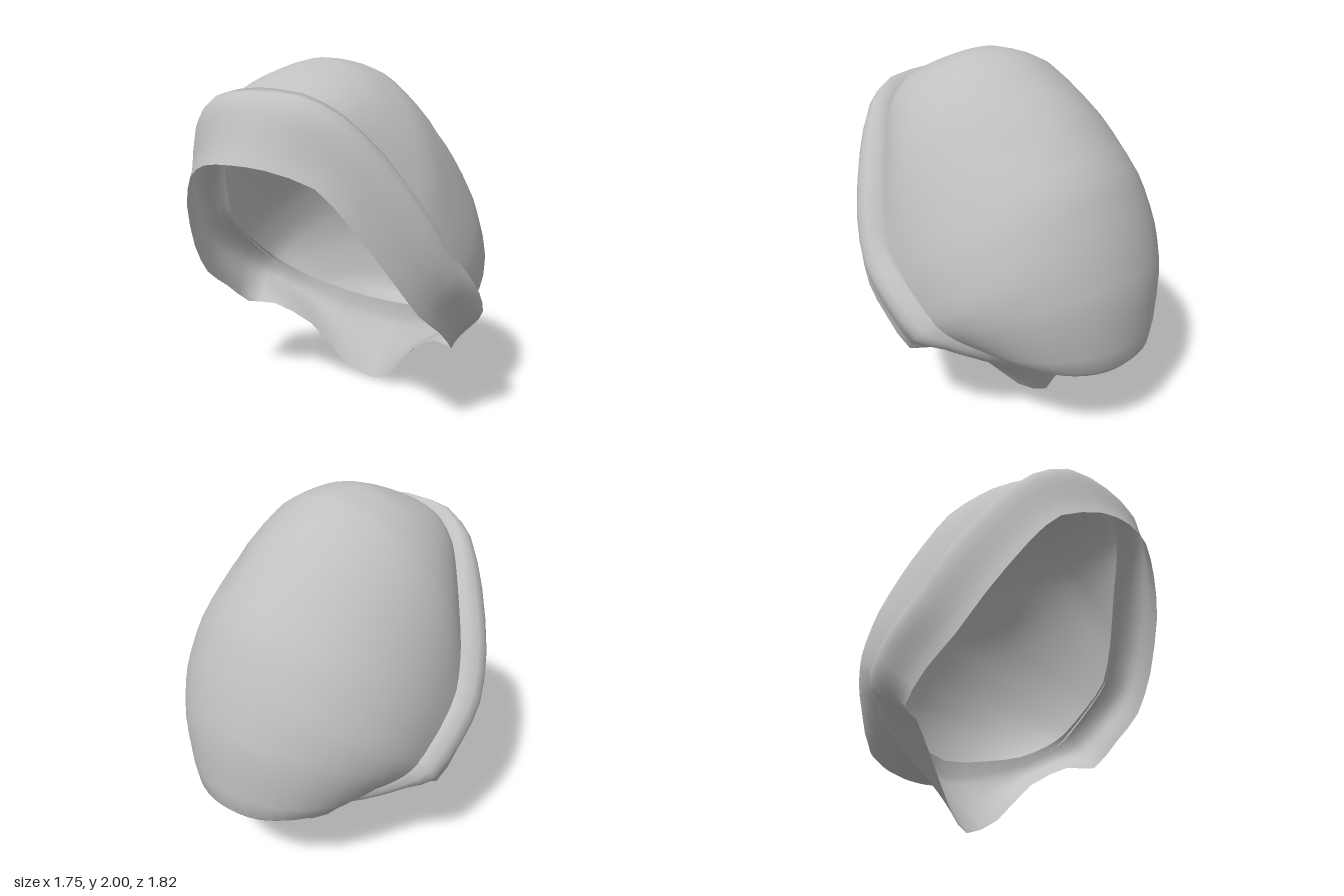
import * as THREE from 'three';
import { mergeVertices } from 'three/addons/utils/BufferGeometryUtils.js';

const V = (x, y, z) => new THREE.Vector3(x, y, z);
const lerp = THREE.MathUtils.lerp;

// Half of each guide line, front to back: upper edge of the cuff, lower edge, crown ridge
const TOP = [[0, 1.84, 0.7], [0.27, 1.81, 0.67], [0.44, 1.71, 0.58], [0.58, 1.52, 0.44],
  [0.72, 1.25, 0.29], [0.785, 1.03, 0.17], [0.81, 0.89, 0], [0.79, 0.73, -0.18],
  [0.71, 0.63, -0.27], [0.55, 0.52, -0.37], [0.3, 0.43, -0.44], [0, 0.36, -0.52]];
const BOTTOM = [[0, 1.475, 0.91], [0.2, 1.46, 0.88], [0.42, 1.38, 0.78], [0.56, 1.2, 0.69],
  [0.69, 0.93, 0.53], [0.75, 0.73, 0.38], [0.77, 0.6, 0.2], [0.75, 0.46, 0.03],
  [0.6, 0.45, -0.06], [0.39, 0.32, -0.18], [0.18, 0.09, -0.25], [0, 0, -0.31]];
const RIDGE = [[1.78, 0.65], [1.88, 0.55], [1.95, 0.38], [2, 0.19], [1.97, -0.07], [1.74, -0.42],
  [1.44, -0.69], [1.15, -0.82], [0.85, -0.9], [0.46, -0.9], [0.36, -0.74], [0.37, -0.53]];

// Closed loop from a half line mirrored in x
function loop(half) {
  const right = half.map(p => V(...p));
  const left = half.slice(1, -1).reverse().map(([x, y, z]) => V(-x, y, z));
  return new THREE.CatmullRomCurve3([...right, ...left], true, 'catmullrom', 0.4);
}

// Smooth surface from a function of u and v
function surface(f, nu, nv) {
  const pos = [], index = [];
  for (let i = 0; i <= nu; i++)
    for (let j = 0; j <= nv; j++) pos.push(...f(i / nu, j / nv).toArray());
  for (let i = 0; i < nu; i++)
    for (let j = 0; j < nv; j++) {
      const a = i * (nv + 1) + j, b = a + nv + 1;
      index.push(a, b, b + 1, a, b + 1, a + 1);
    }
  let g = new THREE.BufferGeometry();
  g.setAttribute('position', new THREE.Float32BufferAttribute(pos, 3));
  g.setIndex(index);
  g = mergeVertices(g, 1e-4);
  g.computeVertexNormals();
  return g;
}

export function createModel() {
  const group = new THREE.Group();
  const fabric = new THREE.MeshStandardMaterial({ color: 0xc0c0c0, side: THREE.DoubleSide });
  fabric.name = 'grey fabric';
  const add = (name, geometry) => {
    const mesh = new THREE.Mesh(geometry, fabric);
    mesh.name = name;
    group.add(mesh);
  };

  const top = loop(TOP), bottom = loop(BOTTOM);
  const ridge = new THREE.CatmullRomCurve3(RIDGE.map(([y, z]) => V(0, y, z)), false, 'catmullrom', 0.3);
  const backness = u => 1 - Math.abs(1 - 2 * u); // 0 at the front, 1 at the back

  // Crown: arches from rim to rim over the ridge
  const dent = V(0.42, 1.62, -0.4);
  add('crown', surface((u, v) => {
    const rim = top.getPoint(u / 2), peak = ridge.getPoint(u), a = v * Math.PI;
    rim.y -= 0.06 * (1 - u);
    rim.z -= 0.05 * (1 - u);
    const s = Math.sin(a), c = Math.cos(a);
    const x = rim.x * 0.97 * Math.sign(c) * Math.pow(Math.abs(c), lerp(1.12, 0.95, u));
    const p = V(x, lerp(rim.y, peak.y, s), lerp(rim.z, peak.z, s));
    // Small dimple on one side
    const d = p.distanceTo(dent);
    return p.addScaledVector(V(-0.5, -0.7, 0.4), 0.05 * Math.exp(-d * d / 0.007));
  }, 33, 24));

  // Cuff: rounded band, fullest near its upper edge, with the tail at the back
  // Its last step turns the upper edge in against the crown
  add('cuff', surface((u, v) => {
    const a = backness(u), h = Math.min(v * 9 / 8, 1);
    const p = bottom.getPoint(u % 1).lerp(top.getPoint(u % 1), h);
    const out = p.clone().sub(V(0, 0.95, 0.2)).normalize();
    const bulge = 0.045 * (1 - a) + 0.06 * Math.sin(a * Math.PI);
    p.addScaledVector(out, bulge * Math.sin(Math.PI * h * h));
    if (v === 1) p.add(V(-0.05 * p.x, lerp(-0.06, 0.1, a * a), -0.05 * (1 - a)));
    return p;
  }, 44, 9));

  return group;
}
